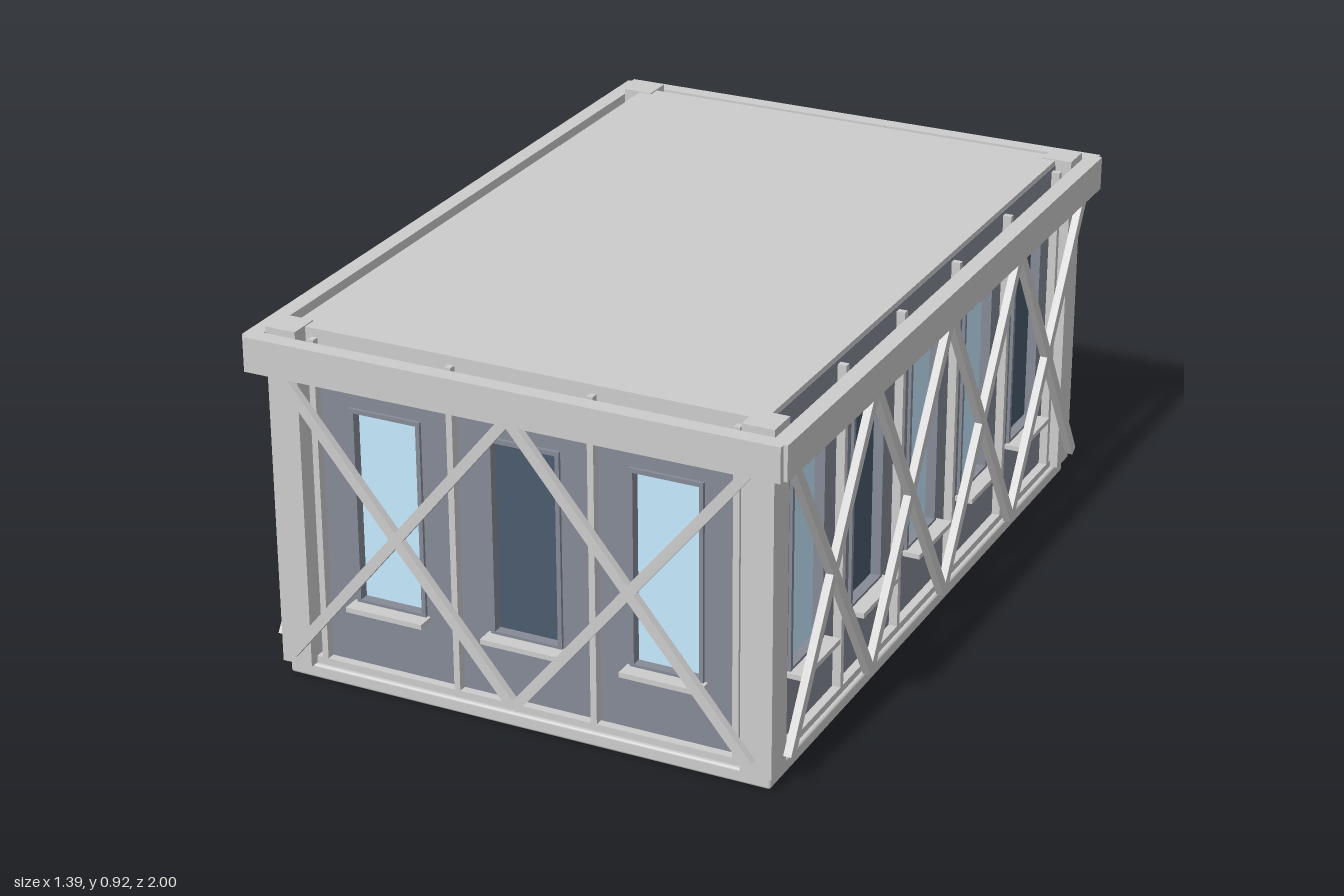
import * as THREE from 'three';
import { RoundedBoxGeometry } from 'three/addons/geometries/RoundedBoxGeometry.js';

const grey = new THREE.MeshStandardMaterial({ color: 0xcccccc });
const wallPaint = new THREE.MeshStandardMaterial({ color: 0x858a96 });
const lightGlass = new THREE.MeshStandardMaterial({ color: 0xc5eaff });
const darkGlass = new THREE.MeshStandardMaterial({ color: 0x4a5b6d });

const BASE = 0.037, WALL_TOP = 0.9;
const WIN_W = 0.18, WIN_LOW = 0.222, WIN_HIGH = 0.724;

function add(parent, name, geometry, material, x = 0, y = 0, z = 0) {
  const mesh = new THREE.Mesh(geometry, material);
  mesh.name = name;
  mesh.position.set(x, y, z);
  parent.add(mesh);
  return mesh;
}

// Box given by its lower and upper limits on each axis
function box(parent, name, material, x0, x1, y0, y1, z0, z1) {
  return add(parent, name, new THREE.BoxGeometry(x1 - x0, y1 - y0, z1 - z0), material,
    (x0 + x1) / 2, (y0 + y1) / 2, (z0 + z1) / 2);
}

function rect(Type, x0, x1, y0, y1) {
  return new Type().setFromPoints([
    new THREE.Vector2(x0, y0), new THREE.Vector2(x1, y0),
    new THREE.Vector2(x1, y1), new THREE.Vector2(x0, y1), new THREE.Vector2(x0, y0),
  ]);
}

function extrude(shape, depth) {
  return new THREE.ExtrudeGeometry(shape, { depth, bevelEnabled: false });
}

// Straight diagonal bar in the plane of a facade
function brace(parent, xa, ya, xb, yb, z) {
  const length = Math.hypot(xb - xa, yb - ya);
  const bar = add(parent, 'brace', new THREE.BoxGeometry(length, 0.026, 0.02), grey,
    (xa + xb) / 2, (ya + yb) / 2, z);
  bar.rotation.z = Math.atan2(yb - ya, xb - xa);
}

// One facade, facing +z with its outer wall surface at z = 0.
// panes: one letter per window, L for light and D for dark glass
function facade({ name, half, pitch, panes, bays, braceHalf, braceZ }) {
  const group = new THREE.Group();
  group.name = name;
  const n = panes.length;
  const wall = rect(THREE.Shape, -half, half, BASE, WALL_TOP);
  [...panes].forEach((pane, i) => {
    const x = (i - (n - 1) / 2) * pitch;
    const x0 = x - WIN_W / 2, x1 = x + WIN_W / 2;
    wall.holes.push(rect(THREE.Path, x0, x1, WIN_LOW, WIN_HIGH));
    // Frame, glass and sill
    const frame = rect(THREE.Shape, x0 - 0.004, x1 + 0.004, WIN_LOW - 0.004, WIN_HIGH + 0.004);
    frame.holes.push(rect(THREE.Path, x0 + 0.007, x1 - 0.007, WIN_LOW + 0.007, WIN_HIGH - 0.007));
    add(group, 'windowFrame', extrude(frame, 0.028), wallPaint, 0, 0, -0.02);
    box(group, 'windowGlass', pane === 'L' ? lightGlass : darkGlass,
      x0, x1, WIN_LOW, WIN_HIGH, -0.03, -0.018);
    box(group, 'windowSill', grey, x - 0.103, x + 0.103, 0.209, 0.222, 0, 0.046);
  });
  add(group, 'wall', extrude(wall, 0.03), wallPaint, 0, 0, -0.03);

  // Mullions between and beside the windows, and the rail at the foot
  for (let i = 0; i <= n; i++) {
    const x = (i - n / 2) * pitch;
    box(group, 'mullion', grey, x - 0.008, x + 0.008, BASE, WALL_TOP - 0.01, 0, 0.022);
  }
  box(group, 'bottomRail', grey, -half, half, BASE, 0.055, 0, 0.022);

  // Crossed braces, one X per bay
  const w = (2 * braceHalf) / bays;
  for (let i = 0; i < bays; i++) {
    const a = -braceHalf + i * w;
    brace(group, a, 0.08, a + w, 0.82, braceZ);
    brace(group, a, 0.82, a + w, 0.08, braceZ);
  }
  return group;
}

export function createModel() {
  const model = new THREE.Group();
  model.name = 'building';

  // Plinth and flat roof
  add(model, 'plinth', new RoundedBoxGeometry(1.28, BASE, 1.88, 2, 0.007), grey, 0, BASE / 2, 0);
  box(model, 'roof', grey, -0.605, 0.605, 0.87, 0.912, -0.91, 0.91);

  // Corner columns
  for (const sx of [-1, 1]) {
    for (const sz of [-1, 1]) {
      add(model, 'cornerColumn', new THREE.BoxGeometry(0.08, 0.915 - BASE, 0.08), grey,
        sx * 0.61, (0.915 + BASE) / 2, sz * 0.915);
    }
  }

  // Four facades turned to their sides
  const short = { half: 0.6, pitch: 0.364, bays: 2, braceHalf: 0.605, braceZ: 0.071 };
  const long = { half: 0.9, pitch: 0.342, bays: 4, braceHalf: 0.91, braceZ: 0.066 };
  const sides = [
    { ...short, name: 'frontFacade', panes: 'LDL', turn: 0, out: 0.907 },
    { ...short, name: 'backFacade', panes: 'DLL', turn: Math.PI, out: 0.907 },
    { ...long, name: 'leftFacade', panes: 'LDLLD', turn: Math.PI / 2, out: 0.607 },
    { ...long, name: 'rightFacade', panes: 'LLDLL', turn: -Math.PI / 2, out: 0.607 },
  ];
  for (const side of sides) {
    const group = facade(side);
    group.rotation.y = side.turn;
    group.position.set(Math.sin(side.turn) * side.out, 0, Math.cos(side.turn) * side.out);
    model.add(group);
  }

  // Cornice band standing off the walls, with stepped corners
  for (const s of [-1, 1]) {
    add(model, 'corniceEnd', new THREE.BoxGeometry(1.37, 0.088, 0.042), grey, 0, 0.855, s * 0.979);
    add(model, 'corniceSide', new THREE.BoxGeometry(0.042, 0.088, 1.97), grey, s * 0.674, 0.855, 0);
  }
  return model;
}
